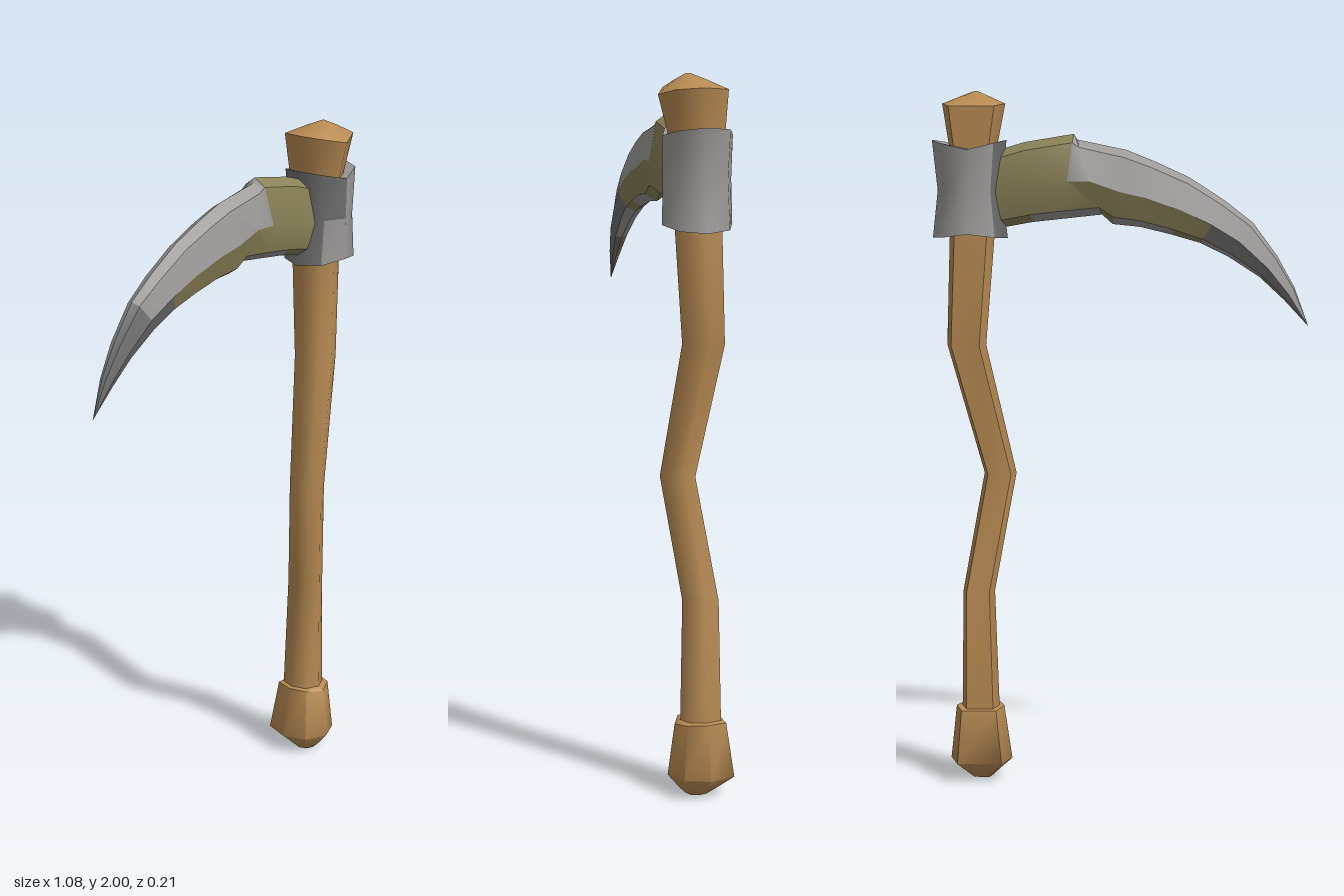
import * as THREE from 'three';
import { toCreasedNormals } from 'three/addons/utils/BufferGeometryUtils.js';

const mat = (name, color) => {
  const m = new THREE.MeshStandardMaterial({ color });
  m.name = name;
  return m;
};

// Joins cross-section rings into a skin; paint(i, j) picks a material index per facet.
function loft(rings, { crease = 1, paint = () => 0, capped = true } = {}) {
  const buckets = [];
  const tri = (k, a, b, c) => {
    const area = b.clone().sub(a).cross(c.clone().sub(a)).length();
    if (area > 1e-9) (buckets[k] ??= []).push(...a, ...b, ...c);
  };
  const n = rings[0].length;
  for (let i = 0; i < rings.length - 1; i++) {
    for (let j = 0; j < n; j++) {
      const k = (j + 1) % n, a = rings[i][j], b = rings[i][k];
      const c = rings[i + 1][k], d = rings[i + 1][j], p = paint(i, j);
      tri(p, a, d, b);
      tri(p, b, d, c);
    }
  }
  if (capped) {
    [[rings[0], false], [rings[rings.length - 1], true]].forEach(([ring, end]) => {
      const mid = new THREE.Vector3();
      ring.forEach(v => mid.addScaledVector(v, 1 / n));
      ring.forEach((v, j) => {
        const w = ring[(j + 1) % n];
        end ? tri(0, mid, w, v) : tri(0, mid, v, w);
      });
    });
  }
  const geo = new THREE.BufferGeometry();
  const all = [];
  buckets.forEach((list, k) => {
    geo.addGroup(all.length / 3, list.length / 3, k);
    all.push(...list);
  });
  geo.setAttribute('position', new THREE.Float32BufferAttribute(all, 3));
  return toCreasedNormals(geo, crease);
}

// Seven-sided whittled outline, fitted to the extents of each level.
const WHITTLED = [[1, -0.15], [0.75, 0.66], [0, 1], [-0.75, 0.66], [-1, -0.15], [-0.72, -1], [0.72, -1]];
const OCTAGON = Array.from({ length: 8 }, (_, j) => {
  const a = j * Math.PI / 4;
  return [Math.cos(a), Math.sin(a)];
});

// Level: [y, xMin, xMax, zMin, zMax, lift at the sides]
const levels = (outline, list) => list.map(([y, x0, x1, z0, z1, lift = 0]) =>
  outline.map(([u, w]) => new THREE.Vector3(
    (x0 + x1) / 2 + u * (x1 - x0) / 2,
    y + lift * Math.abs(u),
    (z0 + z1) / 2 + w * (z1 - z0) / 2)));

export function createModel() {
  const group = new THREE.Group();
  const wood = mat('wood', 0xb78a52);
  const steel = mat('steel', 0x9b9896);
  const darkSteel = mat('darkSteel', 0x6e6d6e);
  const tarnish = mat('tarnish', 0x8a8258);
  const add = (name, geo, material) => {
    const mesh = new THREE.Mesh(geo, material);
    mesh.name = name;
    group.add(mesh);
  };

  // Crooked shaft
  add('handle', loft(levels(WHITTLED, [
    [0.15, 0.35, 0.462, -0.072, 0.037],
    [0.56, 0.363, 0.455, -0.063, 0.032],
    [0.90, 0.302, 0.395, -0.012, 0.08],
    [1.28, 0.383, 0.495, -0.066, 0.042],
    [1.62, 0.355, 0.485, -0.06, 0.06],
    [1.84, 0.355, 0.478, -0.065, 0.065]])), [wood]);

  // Flared top with a low peak
  add('handleTop', loft(levels(WHITTLED, [
    [1.80, 0.357, 0.478, -0.066, 0.066],
    [1.945, 0.325, 0.505, -0.073, 0.103, 0.02],
    [1.985, 0.37, 0.455, -0.02, 0.055],
    [2.0, 0.405, 0.415, 0.015, 0.025]])), [wood]);

  // Swollen foot with a blunt point
  add('pommel', loft(levels(WHITTLED, [
    [0.0, 0.375, 0.435, -0.035, 0.02],
    [0.02, 0.355, 0.455, -0.06, 0.04],
    [0.058, 0.315, 0.495, -0.103, 0.072],
    [0.205, 0.338, 0.478, -0.082, 0.053, 0.01],
    [0.218, 0.36, 0.455, -0.062, 0.032]])), [wood]);

  // Metal collar, darker on the blade side
  add('collar', loft(levels(OCTAGON, [
    [1.60, 0.36, 0.48, -0.06, 0.06],
    [1.60, 0.32, 0.535, -0.1, 0.095, -0.015],
    [1.72, 0.336, 0.52, -0.096, 0.094],
    [1.838, 0.322, 0.535, -0.1, 0.095, 0.025],
    [1.838, 0.36, 0.48, -0.065, 0.065]]),
  { crease: 0.9, capped: false, paint: (i, j) => (j === 2 && i === 2) || j === 3 || j === 4 ? 1 : 0 }),
  [steel, darkSteel]);

  // Curved blade: [spine x, spine y, edge x, edge y, half thickness]
  const stations = [
    [0.36, 1.83, 0.36, 1.61, 0.04],
    [0.27, 1.857, 0.25, 1.63, 0.054],
    [0.13, 1.88, 0.16, 1.64, 0.057],
    [0.12, 1.864, 0.05, 1.652, 0.057],
    [-0.02, 1.835, 0.02, 1.625, 0.057],
    [-0.10, 1.803, -0.06, 1.617, 0.055],
    [-0.20, 1.757, -0.15, 1.595, 0.05],
    [-0.30, 1.692, -0.23, 1.572, 0.045],
    [-0.38, 1.63, -0.31, 1.533, 0.037],
    [-0.45, 1.535, -0.40, 1.475, 0.029],
    [-0.50, 1.445, -0.47, 1.41, 0.017],
    [-0.54, 1.335, -0.54, 1.335, 0]];
  const section = [[0, 1], [0.6, 0.9], [1, 0.45], [0.6, 0.1], [0, 0], [-0.6, 0.1], [-1, 0.45], [-0.6, 0.9]];
  const bladeRings = stations.map(([sx, sy, ex, ey, t]) => section.map(([w, h]) =>
    new THREE.Vector3(ex + (sx - ex) * h, ey + (sy - ey) * h, w * t)));
  const bladePaint = (i, j) => {
    const front = j < 4, row = front ? j : 7 - j; // 0 spine ... 3 cutting edge
    if (i < 2) return row === 3 && i === 1 ? 0 : 2;
    if (i >= 8 && (front || row === 2)) return row === 3 && i === 8 ? 0 : 1;
    if (i === 7 && row === 2) return 1;
    if (row === 2 && i < 7) return 2;
    if (row === 3 && i % 3 === 0) return 2;
    return 0;
  };
  add('blade', loft(bladeRings, { crease: 0.5, paint: bladePaint }), [steel, darkSteel, tarnish]);

  return group;
}
